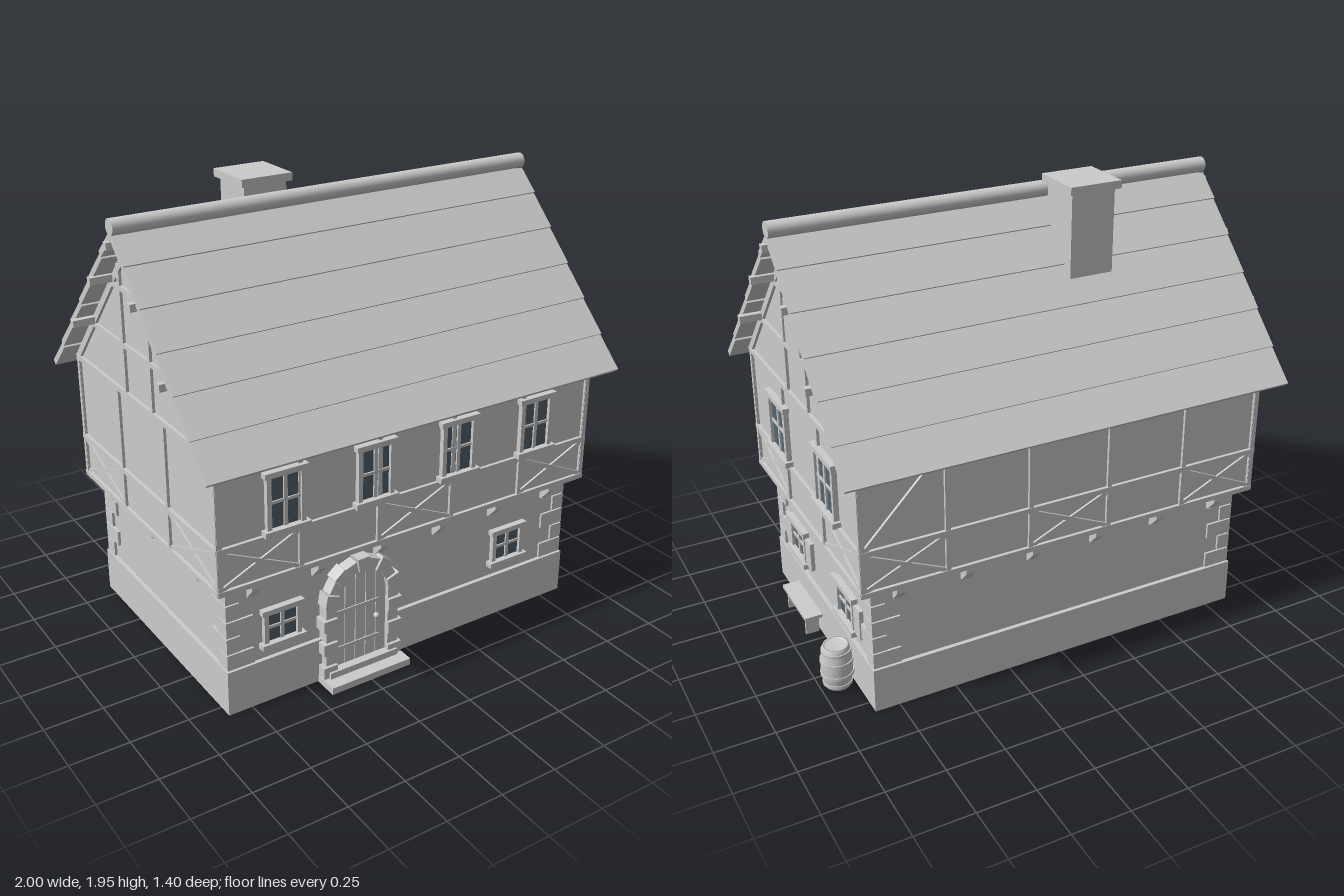
import * as THREE from 'three';

const stone = new THREE.MeshStandardMaterial({ color: 0xcccccc });
stone.name = 'pale grey';
const glassBlue = new THREE.MeshStandardMaterial({ color: 0x54636f });
glassBlue.name = 'slate blue glass';

function add(parent, name, geometry, material = stone) {
  const mesh = new THREE.Mesh(geometry, material);
  mesh.name = name;
  parent.add(mesh);
  return mesh;
}

// Box given by its limits on each axis
function box(parent, name, x0, x1, y0, y1, z0, z1, material) {
  const mesh = add(parent, name, new THREE.BoxGeometry(x1 - x0, y1 - y0, z1 - z0), material);
  mesh.position.set((x0 + x1) / 2, (y0 + y1) / 2, (z0 + z1) / 2);
  return mesh;
}

// Straight timber between two points of a wall, lying on its surface
function beam(wall, name, x0, y0, x1, y1, width = 0.02, depth = 0.012) {
  const length = Math.hypot(x1 - x0, y1 - y0);
  const mesh = add(wall, name, new THREE.BoxGeometry(length, width, depth * 2));
  mesh.position.set((x0 + x1) / 2, (y0 + y1) / 2, 0);
  mesh.rotation.z = Math.atan2(y1 - y0, x1 - x0);
}

// Profile in (z, y) extruded along x
function extrudeAlongX(parent, name, points, length) {
  const shape = new THREE.Shape(points.map(([z, y]) => new THREE.Vector2(-z, y)));
  const geometry = new THREE.ExtrudeGeometry(shape, { depth: length, bevelEnabled: false });
  geometry.translate(0, 0, -length / 2).rotateY(Math.PI / 2);
  return add(parent, name, geometry);
}

// Group whose local +z points out of a wall
function wallGroup(parent, name, turn, distance) {
  const group = new THREE.Group();
  group.name = name;
  group.rotation.y = turn;
  group.position.set(Math.sin(turn) * distance, 0, Math.cos(turn) * distance);
  parent.add(group);
  return group;
}

// Four-pane window; y0 and y1 bound the glass
function makeWindow(wall, x, y0, y1, glassWidth) {
  const g = new THREE.Group();
  g.name = 'window';
  g.position.x = x;
  wall.add(g);
  const h = glassWidth / 2, f = h + 0.02, mid = (y0 + y1) / 2;
  box(g, 'glass', -h, h, y0, y1, 0.001, 0.008, glassBlue);
  for (const s of [-1, 1]) box(g, 'casing', Math.min(s * h, s * f), Math.max(s * h, s * f), y0, y1, 0, 0.022);
  box(g, 'lintel', -f - 0.01, f + 0.01, y1, y1 + 0.023, 0, 0.028);
  box(g, 'sill', -f - 0.015, f + 0.015, y0 - 0.024, y0, 0, 0.035);
  box(g, 'mullion', -0.008, 0.008, y0, y1, 0, 0.015);
  box(g, 'glazingBar', -h, h, mid - 0.006, mid + 0.006, 0, 0.014);
}

// Posts, rails and crossed braces of the upper floor
function makeFraming(wall, posts, crossedBays) {
  const end = posts[posts.length - 1];
  for (const x of posts) beam(wall, 'post', x, 0.58, x, 1.14);
  for (const y of [0.59, 0.77, 1.14]) beam(wall, 'rail', -end - 0.01, y, end + 0.01, y, 0.022, 0.014);
  for (const i of crossedBays) {
    beam(wall, 'crossBrace', posts[i], 0.6, posts[i + 1], 0.76, 0.017, 0.009);
    beam(wall, 'crossBrace', posts[i], 0.76, posts[i + 1], 0.6, 0.017, 0.01);
  }
}

// Timbers of a gable triangle
function makeGable(wall) {
  beam(wall, 'collarRail', -0.4, 1.35, 0.4, 1.35);
  beam(wall, 'upperCollarRail', -0.19, 1.585, 0.19, 1.585);
  for (const s of [-1, 1]) {
    beam(wall, 'gablePost', s * 0.118, 1.14, s * 0.118, 1.68, 0.022);
    beam(wall, 'gableRafter', s * 0.595, 1.145, 0, 1.79, 0.03);
  }
}

// Wedge corbels under the overhang
function makeCorbels(wall, xs) {
  for (const x of xs) {
    const m = extrudeAlongX(wall, 'corbel', [[-0.02, 0.58], [0.055, 0.58], [0.055, 0.555], [0.01, 0.505], [-0.02, 0.505]], 0.04);
    m.position.x = x;
  }
}

function makeDoor(wall) {
  const g = new THREE.Group();
  g.name = 'door';
  g.position.x = -0.25;
  wall.add(g);
  const spring = 0.36;
  for (let i = -2; i <= 2; i++) {
    const top = spring + Math.sqrt(0.145 ** 2 - (i * 0.05) ** 2);
    box(g, 'plank', i * 0.05 - 0.0235, i * 0.05 + 0.0235, 0.055, top, 0, 0.034);
  }
  box(g, 'doorBacking', -0.125, 0.125, 0.04, 0.44, 0, 0.029);
  for (const y of [0.14, 0.31]) box(g, 'hinge', -0.12, 0.09, y - 0.008, y + 0.008, 0.03, 0.039);
  add(g, 'doorKnob', new THREE.SphereGeometry(0.013, 16, 10)).position.set(0.073, 0.24, 0.045);
  // jamb stones
  for (const s of [-1, 1]) for (let i = 0; i < 6; i++) {
    const a = s * 0.125, b = s * (i % 2 ? 0.175 : 0.19), y = 0.03 + i * 0.055;
    box(g, 'jambStone', Math.min(a, b), Math.max(a, b), y + 0.002, y + 0.053, 0, i % 2 ? 0.052 : 0.06);
  }
  // arch stones
  const count = 9;
  for (let i = 0; i < count; i++) {
    const a0 = Math.PI * i / count + 0.01, a1 = Math.PI * (i + 1) / count - 0.01;
    const outer = i % 2 ? 0.17 : 0.183;
    const shape = new THREE.Shape([[0.122, a0], [outer, a0], [outer, a1], [0.122, a1]]
      .map(([r, a]) => new THREE.Vector2(r * Math.cos(a), r * Math.sin(a))));
    add(g, 'archStone', new THREE.ExtrudeGeometry(shape, { depth: i % 2 ? 0.052 : 0.06, bevelEnabled: false })).position.y = spring;
  }
  box(g, 'lowerStep', -0.192, 0.192, 0, 0.03, 0, 0.125);
  box(g, 'upperStep', -0.165, 0.165, 0.03, 0.058, 0, 0.07);
}

function makeBarrel(parent) {
  const g = new THREE.Group();
  g.name = 'barrel';
  g.position.set(0.925, 0, -0.33);
  parent.add(g);
  const radius = y => 0.053 + 0.014 * Math.sin(Math.PI * y / 0.2);
  const profile = [[0, 0.004]];
  for (let i = 0; i <= 8; i++) profile.push([radius(i * 0.0245), 0.004 + i * 0.0245]);
  profile.push([0.047, 0.2], [0.046, 0.192], [0, 0.192]);
  add(g, 'staves', new THREE.LatheGeometry(profile.map(([r, y]) => new THREE.Vector2(r, y)), 24));
  for (const y of [0.025, 0.07, 0.13, 0.175])
    add(g, 'hoop', new THREE.CylinderGeometry(radius(y) + 0.004, radius(y) + 0.004, 0.013, 24)).position.y = y;
}

export function createModel() {
  const house = new THREE.Group();
  house.name = 'house';

  // Masonry and upper storey
  box(house, 'plinth', -0.857, 0.857, 0.003, 0.2, -0.568, 0.568);
  box(house, 'groundFloor', -0.84, 0.84, 0.2, 0.58, -0.55, 0.55);
  extrudeAlongX(house, 'upperFloor', [[-0.6, 0.58], [0.6, 0.58], [0.6, 1.16], [0, 1.81], [-0.6, 1.16]], 1.79);

  // Corner stones, long side alternating
  for (const sx of [-1, 1]) for (const sz of [-1, 1]) for (let i = 0; i < 5; i++) {
    const lx = i % 2 ? 0.06 : 0.12, lz = i % 2 ? 0.12 : 0.07, y = 0.2 + i * 0.074;
    const m = add(house, 'cornerStone', new THREE.BoxGeometry(lx, 0.068, lz));
    m.position.set(sx * (0.852 - lx / 2), y + 0.037, sz * (0.56 - lz / 2));
  }

  // Framing and corbels on every side
  const longPosts = [-0.895, -0.542, -0.18, 0.18, 0.542, 0.895];
  const sidePosts = [-0.6, -0.205, 0.205, 0.6];
  const upper = {}, lower = {};
  for (const [name, turn, long] of [['front', 0, true], ['right', Math.PI / 2, false], ['back', Math.PI, true], ['left', -Math.PI / 2, false]]) {
    upper[name] = wallGroup(house, name + 'UpperWall', turn, long ? 0.6 : 0.895);
    lower[name] = wallGroup(house, name + 'LowerWall', turn, long ? 0.55 : 0.84);
    makeFraming(upper[name], long ? longPosts : sidePosts, long ? [0, 2, 4] : [0, 2]);
    makeCorbels(lower[name], long ? [-0.74, -0.444, -0.148, 0.148, 0.444, 0.74] : [-0.39, 0, 0.39]);
    if (!long) makeGable(upper[name]);
  }
  beam(upper.back, 'longBrace', -0.885, 0.78, -0.55, 1.13);

  // Windows, shutters and attic hatch
  for (const x of [-0.61, -0.203, 0.203, 0.61]) makeWindow(upper.front, x, 0.803, 1.02, 0.13);
  for (const x of [-0.605, 0.535]) makeWindow(lower.front, x, 0.275, 0.403, 0.13);
  for (const x of [-0.265, 0.28]) makeWindow(upper.right, x, 0.803, 1.025, 0.175);
  for (const x of [-0.28, 0.28]) {
    makeWindow(lower.right, x, 0.272, 0.4, 0.145);
    for (const s of [-1, 1]) box(lower.right, 'shutter', x + s * 0.125 - 0.035, x + s * 0.125 + 0.035, 0.265, 0.4, 0, 0.018);
  }
  box(upper.right, 'atticHatch', -0.082, 0.082, 1.362, 1.555, 0, 0.012);
  makeDoor(lower.front);

  // Lapped roof courses on both slopes
  const apex = [0, 1.815], eave = [0.675, 1.085], normal = [0.734, 0.679], courses = 6;
  const at = (t, lift) => [0, 1].map(k => apex[k] + (eave[k] - apex[k]) * t + normal[k] * lift);
  const breaks = [0, 0.13, 0.305, 0.485, 0.655, 0.83, 1];
  for (const s of [-1, 1]) for (let i = 0; i < courses; i++) {
    const a = breaks[i], b = breaks[i + 1];
    const quad = [at(a, 0), at(a, 0.025), at(b, 0.034), at(b, 0.008)];
    extrudeAlongX(house, 'roofCourse', quad.map(([z, y]) => [s * z, y]), 1.955);
  }
  const ridge = add(house, 'ridgeCap', new THREE.CylinderGeometry(0.033, 0.033, 1.955, 20));
  ridge.rotation.z = Math.PI / 2;
  ridge.position.y = 1.863;

  // Purlin ends under the roof
  for (const [z, y] of [[0, 1.795], [0.18, 1.61], [-0.18, 1.61], [0.39, 1.372], [-0.39, 1.372]])
    for (const s of [-1, 1]) box(house, 'purlinEnd', s * 0.945 - 0.055, s * 0.945 + 0.055, y - 0.015, y + 0.015, z - 0.014, z + 0.014);

  // Chimney
  box(house, 'chimneyStack', -0.367, -0.173, 1.4, 1.915, -0.272, -0.08);
  box(house, 'chimneyCap', -0.385, -0.155, 1.912, 1.945, -0.293, -0.062);

  // Bench and barrel
  box(house, 'benchSeat', 0.857, 0.935, 0.09, 0.105, 0.02, 0.315);
  for (const z of [0.055, 0.28]) box(house, 'benchLeg', 0.865, 0.925, 0.003, 0.09, z - 0.006, z + 0.006);
  makeBarrel(house);

  return house;
}
